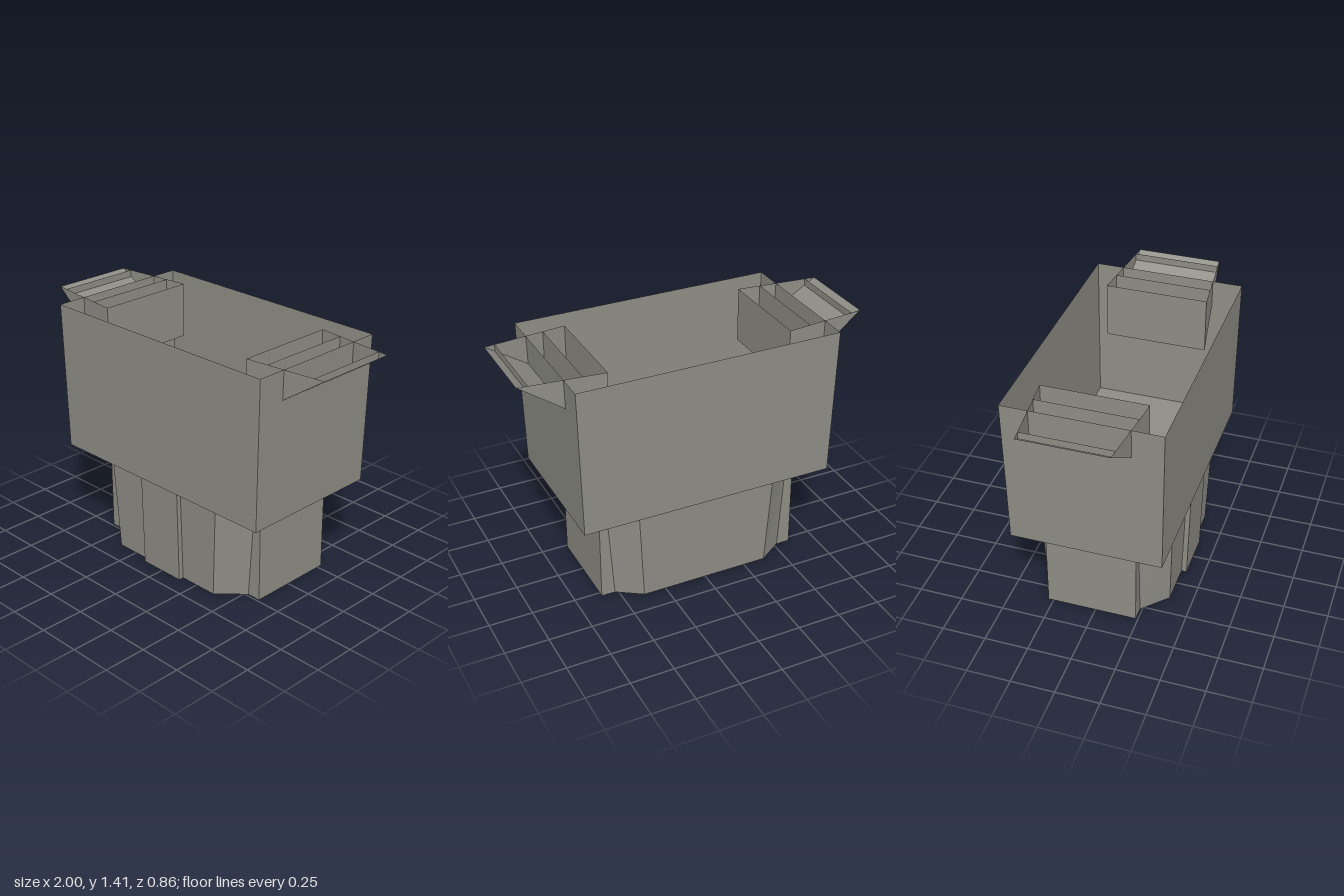
import * as THREE from 'three';

const grey = new THREE.MeshStandardMaterial({ color: 0x8e8d85, side: THREE.DoubleSide, flatShading: true });
grey.name = 'warm grey';

// Thin sheet mesh from flat, convex polygons (each a list of [x, y, z] corners)
function sheet(name, polygons) {
  const pos = [];
  for (const p of polygons)
    for (let i = 1; i < p.length - 1; i++) pos.push(...p[0], ...p[i], ...p[i + 1]);
  const g = new THREE.BufferGeometry();
  g.setAttribute('position', new THREE.Float32BufferAttribute(pos, 3));
  g.computeVertexNormals();
  const m = new THREE.Mesh(g, grey);
  m.name = name;
  return m;
}

// Walls between a lower and an upper [x, z] outline
function walls(low, y0, high, y1, closed = true) {
  const out = [];
  for (let i = 0; i < low.length - (closed ? 0 : 1); i++) {
    const j = (i + 1) % low.length;
    out.push([[low[i][0], y0, low[i][1]], [low[j][0], y0, low[j][1]],
      [high[j][0], y1, high[j][1]], [high[i][0], y1, high[i][1]]]);
  }
  return out;
}

const rect = (x, z) => [[x, z], [x, -z], [-x, -z], [-x, z]];

// Eight-sided outline: x of the flats, x of the sides, z of front and back
const octagon = (xf, xs, zf, zb) => [
  [xf, zf], [xs, 0.237], [xs, -0.28], [xf, zb],
  [-xf, zb], [-xs, -0.28], [-xs, 0.237], [-xf, zf]];

export function createModel() {
  const model = new THREE.Group();
  const ledge = 0.55, top = 1.41;

  // Upper housing, open at the top, with a flat floor
  const base = rect(0.74, 0.423);
  model.add(sheet('upperHousing', walls(base, ledge, rect(0.76, 0.431), top)));
  model.add(sheet('housingFloor', [base.map(([x, z]) => [x, ledge, z])]));

  // Tapered lower socket, open at the bottom
  model.add(sheet('lowerSocket',
    walls(octagon(0.38, 0.52, 0.37, -0.372), 0, octagon(0.41, 0.556, 0.385, -0.387), ledge)));

  // Raised key on the front of the socket
  model.add(sheet('frontKey', walls(
    [[-0.142, 0.37], [-0.142, 0.4], [0.142, 0.4], [0.142, 0.37]], 0,
    [[-0.142, 0.385], [-0.142, 0.412], [0.142, 0.412], [0.142, 0.385]], ledge, false)));

  for (const s of [1, -1]) {
    const side = new THREE.Group();
    side.name = s > 0 ? 'leftSide' : 'rightSide';

    // Straight rib on the side of the socket and the partition behind it
    const rib = [[0.515, 0.237], [0.6, 0.237], [0.6, -0.28], [0.515, -0.28]].map(([x, z]) => [s * x, z]);
    side.add(sheet('sideRib', walls(rib, 0, rib, ledge, false)));
    const part = [[s * 0.41, 0.237], [s * 0.41, -0.26]];
    side.add(sheet('innerPartition', walls(part, 0.02, part, ledge, false)));

    // Wedge pocket: its depth narrows towards the tip
    const xi = 0.53, yi = 1.09;
    const t = x => (x - xi) / (1 - xi);
    const floorY = x => yi + (top - yi) * t(x);
    const front = x => 0.285 - 0.05 * t(x);
    const back = x => -0.3 + 0.05 * t(x);
    const cross = x => [[s * x, floorY(x), front(x)], [s * x, floorY(x), back(x)],
      [s * x, top, back(x)], [s * x, top, front(x)]];
    const c = cross(xi), tip = cross(1);
    side.add(sheet('pocketSlope', [[c[0], c[1], tip[1], tip[0]]]));
    side.add(sheet('pocketEnds', [[c[0], c[3], tip[0]], [c[1], c[2], tip[1]]]));
    side.add(sheet('pocketWall', [c]));
    side.add(sheet('pocketDividers', [0.66, 0.94].map(cross)));
    model.add(side);
  }
  return model;
}
